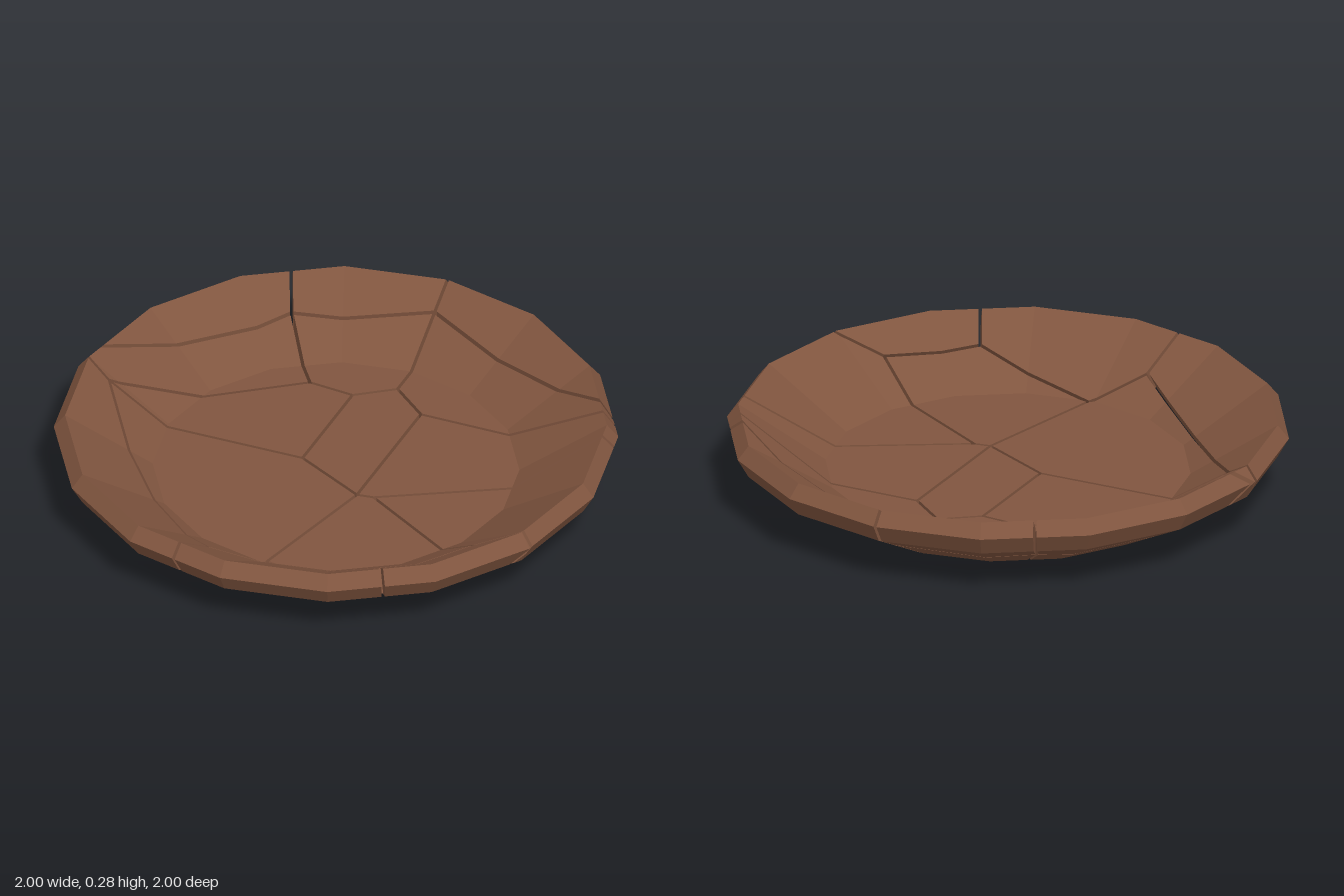
import * as THREE from 'three';

const SIDES = 16, GAP = 0.006, FLOOR_R = 0.65, FLOOR_Y = 0.085;

// Half profiles (radius, height): flat floor disc and sloping wall with a bevelled rim
const floorProfile = [[0, 0], [FLOOR_R, 0], [FLOOR_R, FLOOR_Y], [0, FLOOR_Y]];
const wallProfile = [[FLOOR_R, 0], [0.96, 0.165], [1, 0.235], [0.96, 0.285], [FLOOR_R, FLOOR_Y]];

// Crack junctions on the inner surface: x, z, outward lean of the crack going down
const nodes = {
  A: [-0.13, 0, 0], B: [0.14, 0.13, 0], C: [0.14, -0.42, 0], D: [0, -0.53, 0],
  E: [-0.13, -0.43, 0], F: [-0.3, -0.44, 0], G: [-0.47, -0.66, 0.15], H: [-0.55, -0.83, 0],
  I: [0, -0.85, 0.15], J: [0, -1, 0], K: [0.92, -0.44, 0.1], L: [0.95, 0.34, 0.6],
  M: [0.72, 0.41, 0.6], N: [0.2, 0.12, 0], O: [0.47, 0.67, 0.7], P: [0.54, 0.8, 0.6],
  Q: [0.02, 0.64, 0.4], R: [-0.15, 0.77, 0.7], S: [-0.2, 0.96, 0], T: [-0.87, 0.03, 0.6],
  U: [-1, -0.01, 0], V: [0.94, -0.32, 0],
};

// Each shard is the convex region bounded by these chains; a closed chain ends where it starts
const shards = {
  centreShard: 'ABCDEA', leftFloorShard: 'AEFTA', leftSliver: 'FGUTF',
  backLeftRimShard: 'UGH', backRimShard: 'HGIJ', backFloorShard: 'DEFGID',
  backWallShard: 'DIKCD', backRightRimShard: 'JIK', rightShard: 'KCBNV',
  frontRightShard: 'VNML', frontFloorShard: 'BNMOQB', frontCornerRimShard: 'LMOP',
  frontRimShard: 'POQRS', frontLeftRimShard: 'SRTU', largeFloorShard: 'ABQRTA',
};

function nodePoint(key) {
  const [x, z] = nodes[key];
  const y = FLOOR_Y + Math.max(0, Math.hypot(x, z) - FLOOR_R) * 0.645;
  return new THREE.Vector3(x, y, z);
}

function leanVector(key) {
  const [x, z, lean] = nodes[key];
  return new THREE.Vector3(x, 0, z).normalize().multiplyScalar(lean);
}

// Plane along a crack, facing into the shard and set back by half the gap
function crackPlane(a, b, inside) {
  const pa = nodePoint(a);
  const down = leanVector(a).add(leanVector(b)).multiplyScalar(0.5);
  down.y = -1;
  const normal = nodePoint(b).sub(pa).cross(down).normalize();
  if (normal.dot(inside.clone().sub(pa)) < 0) normal.negate();
  return new THREE.Plane(normal, -normal.dot(pa) - GAP);
}

// One convex wedge of the dish; faces shared with other wedges are hidden
function wedge(profile, index) {
  const ring = (i) => {
    const t = (i / SIDES) * Math.PI * 2;
    return profile.map(([r, y]) => new THREE.Vector3(r * Math.cos(t), y, r * Math.sin(t)));
  };
  const p = ring(index), q = ring(index + 1);
  const faces = [{ pts: p, show: false }, { pts: q, show: false }];
  profile.forEach(([r], i) => {
    const j = (i + 1) % profile.length;
    faces.push({ pts: [p[i], p[j], q[j], q[i]], show: r !== profile[j][0] });
  });
  return faces;
}

// Cut a convex solid by a plane and cap the cut
function clip(faces, plane) {
  const out = [], cut = [];
  for (const { pts, show } of faces) {
    const kept = [];
    pts.forEach((p, i) => {
      const q = pts[(i + 1) % pts.length];
      const dp = plane.distanceToPoint(p), dq = plane.distanceToPoint(q);
      if (dp >= 0) kept.push(p);
      if ((dp >= 0) !== (dq >= 0)) {
        const x = p.clone().lerp(q, dp / (dp - dq));
        kept.push(x);
        cut.push(x);
      }
    });
    if (kept.length > 2) out.push({ pts: kept, show });
  }
  if (cut.length > 2) {
    const c = centre(cut);
    const n = plane.normal;
    const u = new THREE.Vector3(0, 1, 0).cross(n).normalize();
    const v = n.clone().cross(u);
    const angle = (p) => Math.atan2(p.clone().sub(c).dot(v), p.clone().sub(c).dot(u));
    out.push({ pts: cut.sort((a, b) => angle(a) - angle(b)), show: true });
  }
  return out;
}

function centre(points) {
  return points.reduce((s, p) => s.add(p), new THREE.Vector3()).divideScalar(points.length);
}

// Add the visible faces of a convex solid as outward triangles
function addTriangles(faces, positions) {
  if (!faces.length) return;
  const mid = centre(faces.flatMap((f) => f.pts));
  for (const { pts, show } of faces) {
    if (!show) continue;
    for (let i = 1; i < pts.length - 1; i++) {
      const [a, b, c] = [pts[0], pts[i], pts[i + 1]];
      const n = b.clone().sub(a).cross(c.clone().sub(a));
      if (n.length() < 1e-8) continue;
      const order = n.dot(a.clone().sub(mid)) > 0 ? [a, b, c] : [a, c, b];
      order.forEach((p) => positions.push(p.x, p.y, p.z));
    }
  }
}

export function createModel() {
  const group = new THREE.Group();
  group.name = 'crackedDish';
  const clay = new THREE.MeshStandardMaterial({ color: 0x80553f });
  clay.name = 'brownClay';

  for (const [name, chain] of Object.entries(shards)) {
    const keys = [...chain];
    const inside = centre([...new Set(keys)].map(nodePoint));
    const planes = keys.slice(1).map((k, i) => crackPlane(keys[i], k, inside));
    const positions = [];
    for (let i = 0; i < SIDES; i++) {
      for (const profile of [floorProfile, wallProfile]) {
        addTriangles(planes.reduce(clip, wedge(profile, i)), positions);
      }
    }
    const geometry = new THREE.BufferGeometry();
    geometry.setAttribute('position', new THREE.Float32BufferAttribute(positions, 3));
    geometry.computeVertexNormals();
    const mesh = new THREE.Mesh(geometry, clay);
    mesh.name = name;
    group.add(mesh);
  }
  return group;
}
